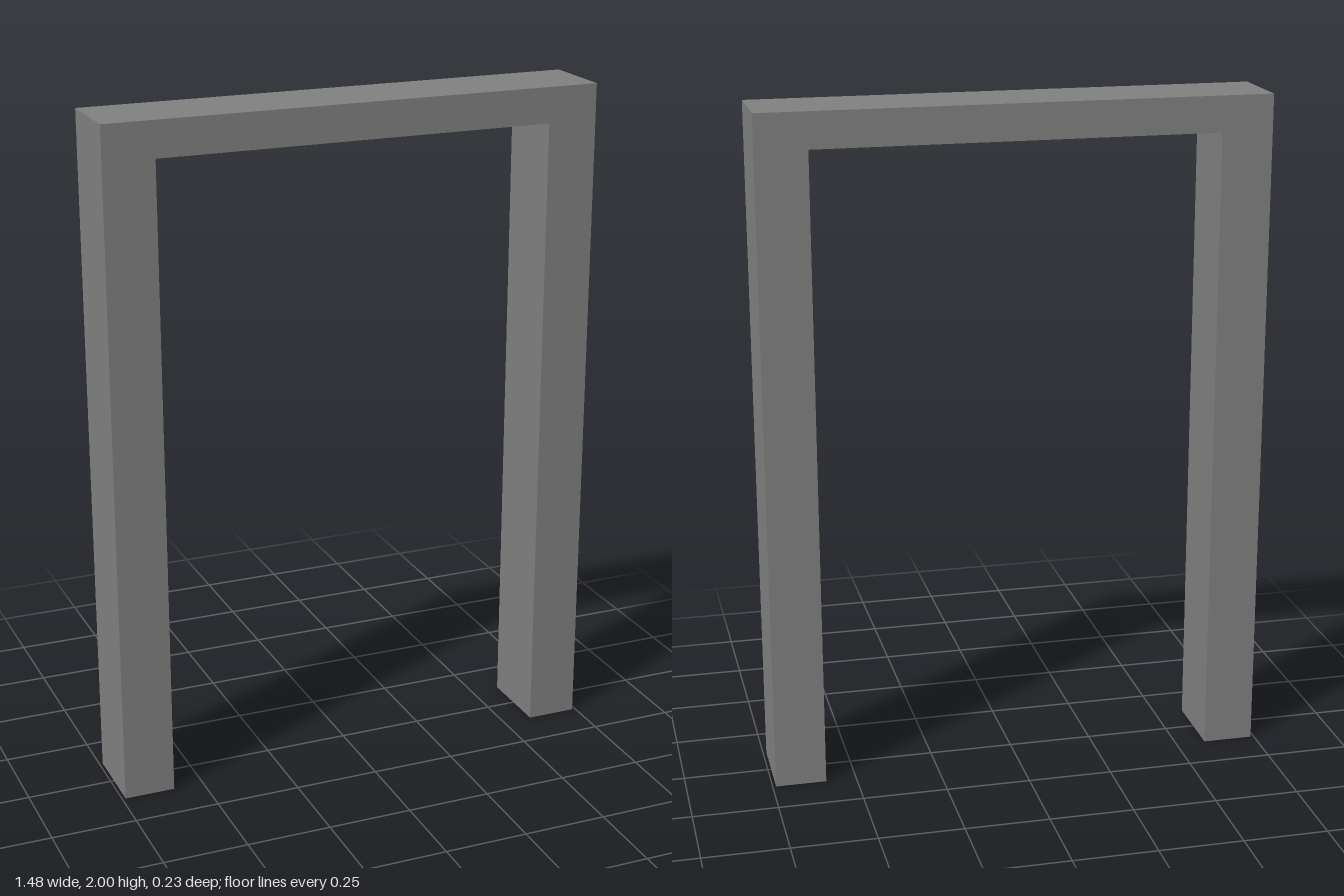
import * as THREE from 'three';

const OUTER = 0.74, INNER = 0.59, HEIGHT = 2, LINTEL_BOTTOM = 1.895, DEPTH = 0.232;

export function createModel() {
  const model = new THREE.Group();
  model.name = 'doorFrame';

  const grey = new THREE.MeshStandardMaterial({ color: 0x808080 });
  grey.name = 'grey';

  // Two posts and the lintel as one seamless outline, open at the floor
  const outline = new THREE.Shape([
    [-OUTER, 0], [-INNER, 0], [-INNER, LINTEL_BOTTOM], [INNER, LINTEL_BOTTOM],
    [INNER, 0], [OUTER, 0], [OUTER, HEIGHT], [-OUTER, HEIGHT],
  ].map(([x, y]) => new THREE.Vector2(x, y)));

  const geometry = new THREE.ExtrudeGeometry(outline, { depth: DEPTH, bevelEnabled: false });
  geometry.translate(0, 0, -DEPTH / 2);

  const frame = new THREE.Mesh(geometry, grey);
  frame.name = 'postsAndLintel';
  model.add(frame);

  return model;
}
